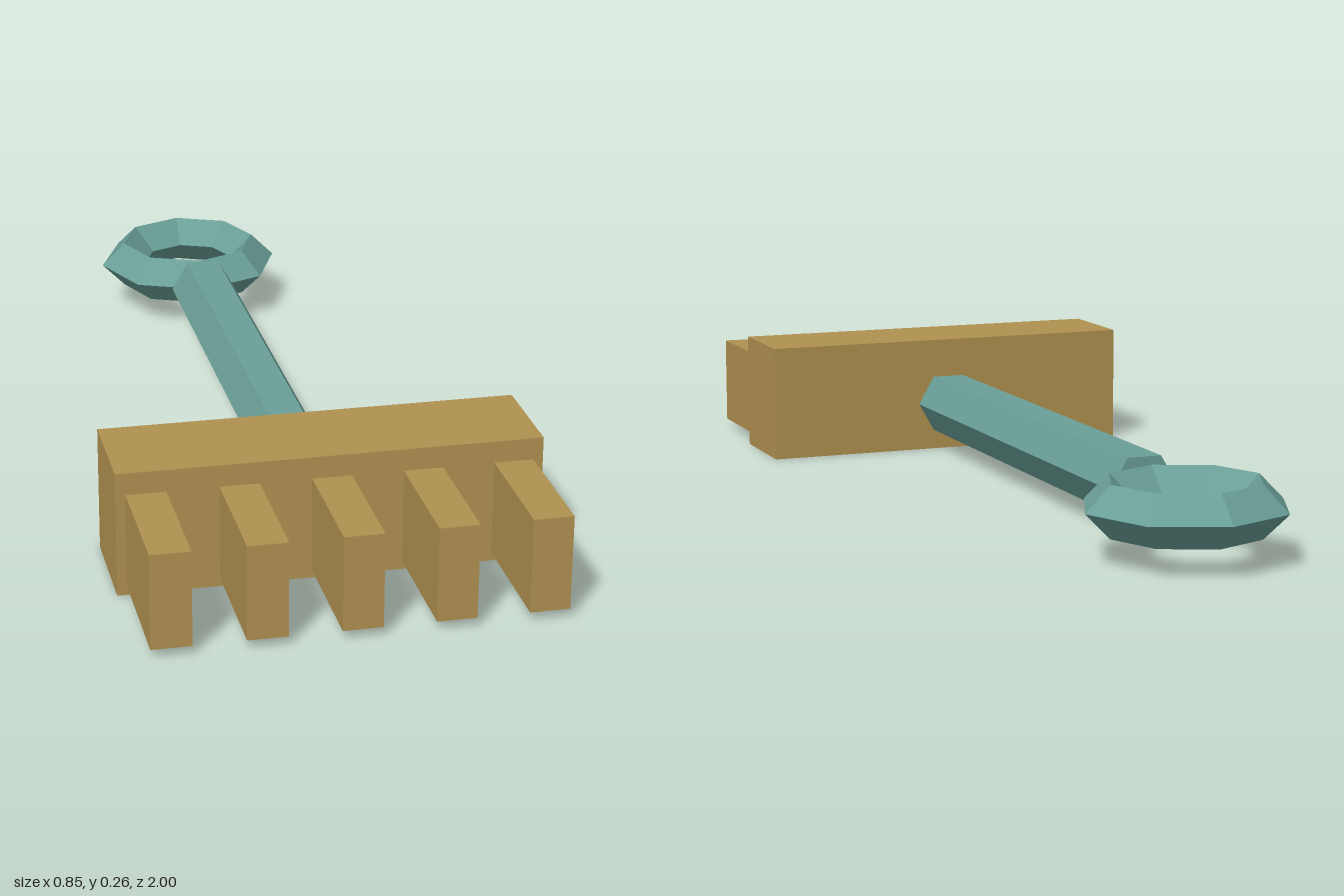
import * as THREE from 'three';

export function createModel() {
  const group = new THREE.Group();
  const tan = new THREE.MeshStandardMaterial({ color: 0xb09150, flatShading: true });
  tan.name = 'tan';
  const teal = new THREE.MeshStandardMaterial({ color: 0x6a9f97, flatShading: true });
  teal.name = 'teal';
  const midY = 0.107;

  const add = (name, geometry, material, x, y, z) => {
    const mesh = new THREE.Mesh(geometry, material);
    mesh.name = name;
    mesh.position.set(x, y, z);
    group.add(mesh);
    return mesh;
  };

  // Rake head
  add('head', new THREE.BoxGeometry(0.846, 0.257, 0.217), tan, 0, 0.1285, 0.629);

  // Five tines, rooted slightly inside the head
  const tine = new THREE.BoxGeometry(0.079, 0.194, 0.28);
  for (let i = -2; i <= 2; i++) add('tine' + (i + 3), tine, tan, i * 0.182, 0.115, 0.86);

  // Hexagonal handle with a flat top, corners on the left and right
  const handle = new THREE.CylinderGeometry(0.073, 0.073, 1.137, 6);
  handle.rotateY(Math.PI / 2).rotateX(Math.PI / 2);
  add('handle', handle, teal, 0, midY, -0.0285);

  // Eight-sided hanging ring with a diamond section
  const ring = new THREE.TorusGeometry(0.157, 0.053, 4, 8);
  ring.rotateX(Math.PI / 2);
  add('ring', ring, teal, 0, midY, -0.79);

  return group;
}
